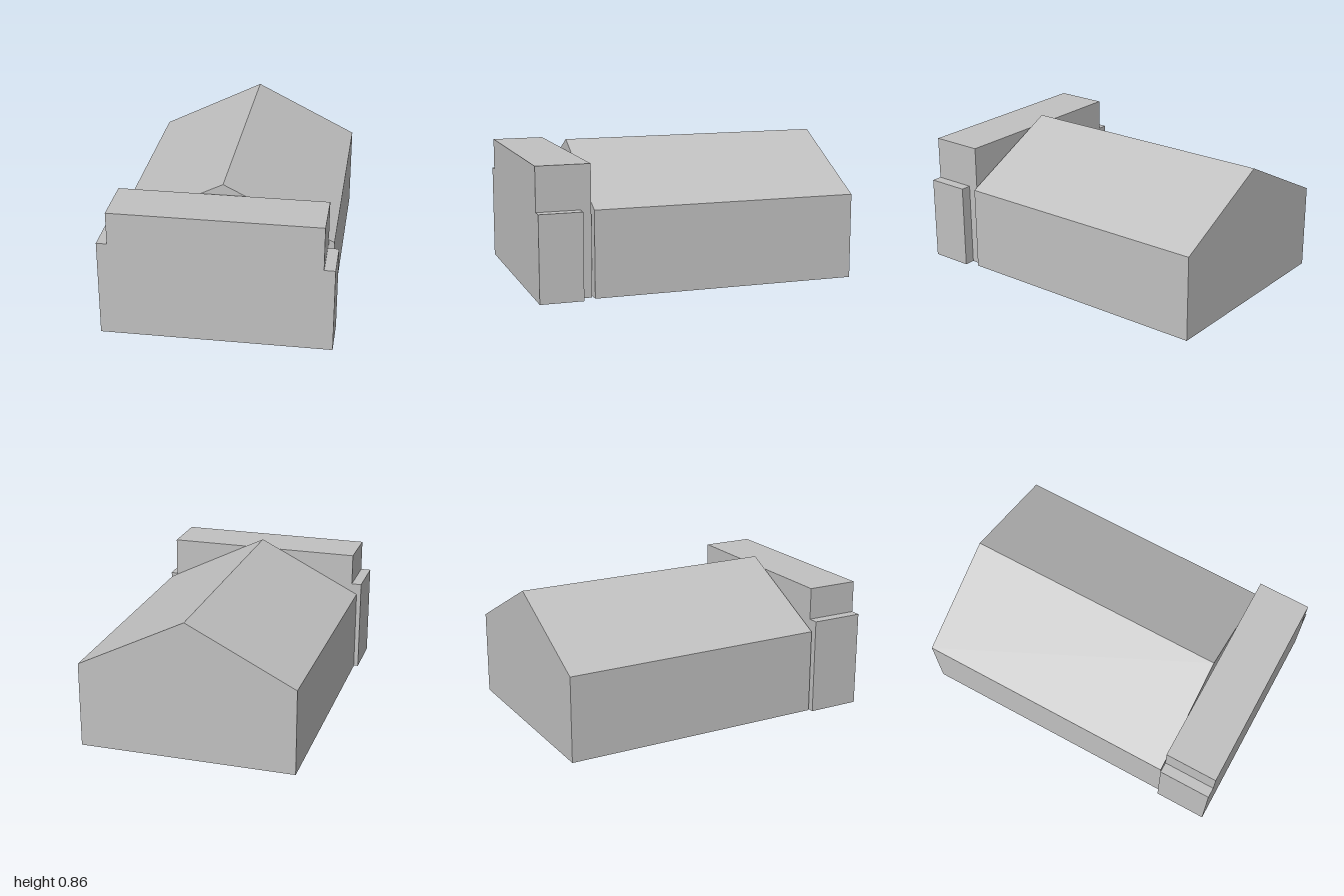
import * as THREE from 'three';

const grey = new THREE.MeshStandardMaterial({ color: 0xc0c0c0, side: THREE.DoubleSide });
grey.name = 'plain grey';

// Extrudes an x/y outline from z0 to z1 and leaves the underside open
function openShell(name, outline, z0, z1) {
  const shape = new THREE.Shape(outline.map(([x, y]) => new THREE.Vector2(x, y)));
  const solid = new THREE.ExtrudeGeometry(shape, { depth: z1 - z0, bevelEnabled: false }).toNonIndexed();
  const p = solid.getAttribute('position');
  const kept = [];
  for (let i = 0; i < p.count; i += 3) {
    const onGround = [0, 1, 2].every((k) => Math.abs(p.getY(i + k)) < 1e-6);
    if (onGround) continue;
    for (let k = 0; k < 3; k++) kept.push(p.getX(i + k), p.getY(i + k), p.getZ(i + k) + z0);
  }
  const geometry = new THREE.BufferGeometry();
  geometry.setAttribute('position', new THREE.Float32BufferAttribute(kept, 3));
  geometry.computeVertexNormals();
  const mesh = new THREE.Mesh(geometry, grey);
  mesh.name = name;
  return mesh;
}

const rectangle = (x0, x1, height) => [[x0, 0], [x1, 0], [x1, height], [x0, height]];

export function createModel() {
  const model = new THREE.Group();
  model.name = 'building';

  // Long gabled hall
  const gable = [[-0.67, 0], [0.66, 0], [0.66, 0.53], [-0.005, 0.863], [-0.67, 0.53]];
  model.add(openShell('gabledHall', gable, -1, 0.66));

  // Flat-roofed front block with a lower step at each end
  model.add(openShell('frontBlock', rectangle(-0.633, 0.627, 0.8), 0.67, 1));
  model.add(openShell('rightStep', rectangle(-0.697, -0.633, 0.6), 0.67, 1));
  model.add(openShell('leftStep', rectangle(0.627, 0.693, 0.53), 0.735, 1));

  return model;
}
